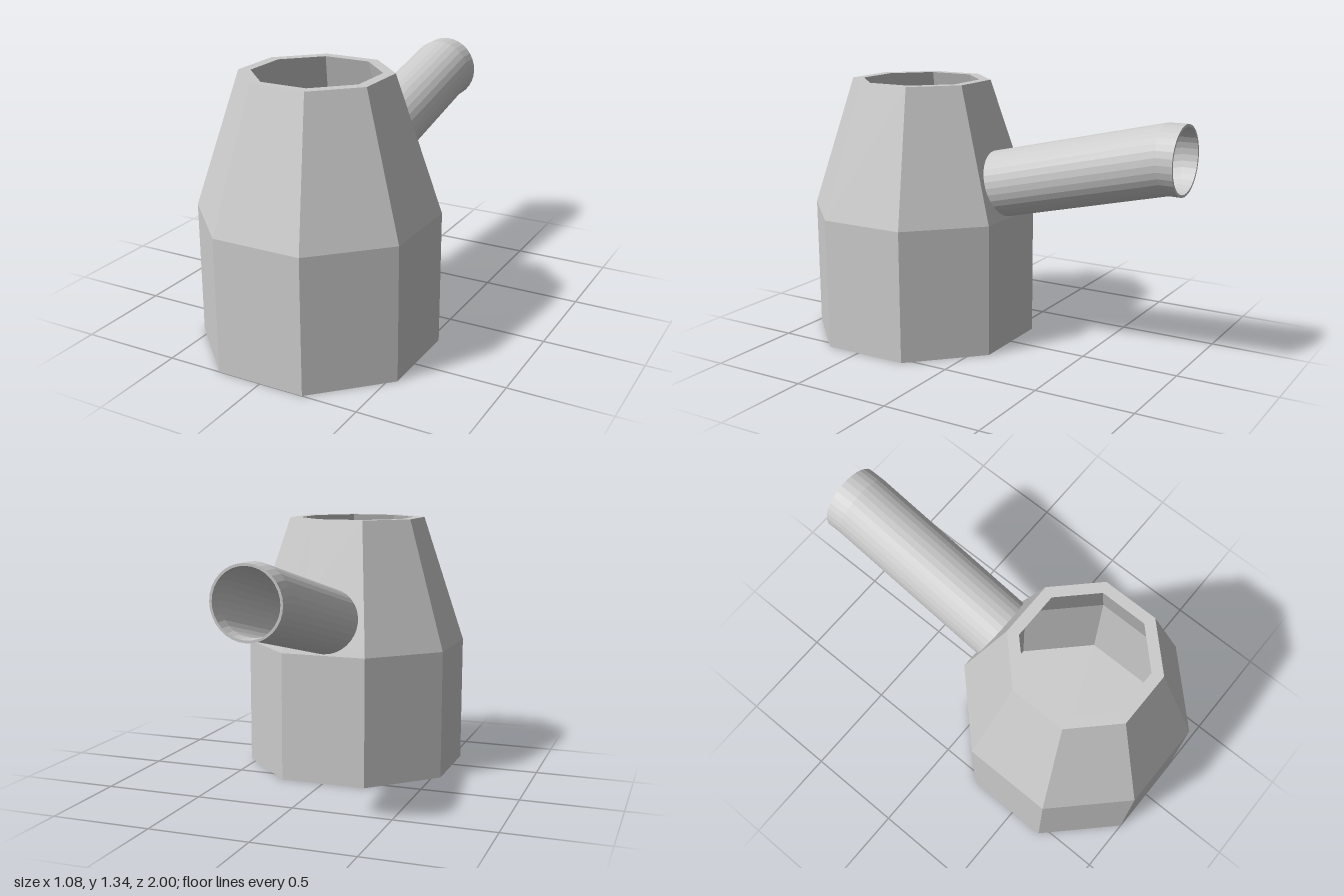
import * as THREE from 'three';

const material = new THREE.MeshStandardMaterial({ color: 0xcccccc, flatShading: true, side: THREE.DoubleSide });
const SIDES = 8;
const HALF = Math.tan(Math.PI / SIDES); // half side width per unit of apothem
const CENTRE_Z = 0.458;
const TUBE_R = 0.17, BORE_R = 0.158;

// One flat panel of the octagon, spanning two profile points [apothem, y]
function panel([a0, y0], [a1, y1], holeAtY) {
  const length = Math.hypot(a1 - a0, y1 - y0);
  const shape = new THREE.Shape([
    new THREE.Vector2(-a0 * HALF, 0), new THREE.Vector2(a0 * HALF, 0),
    new THREE.Vector2(a1 * HALF, length), new THREE.Vector2(-a1 * HALF, length),
  ]);
  if (holeAtY !== undefined) {
    const hole = new THREE.Path();
    hole.absarc(0, length * (holeAtY - y0) / (y1 - y0), BORE_R, 0, Math.PI * 2, true);
    shape.holes.push(hole);
  }
  const geometry = new THREE.ShapeGeometry(shape, 16);
  const p = geometry.attributes.position;
  for (let i = 0; i < p.count; i++) {
    const t = p.getY(i) / length;
    p.setXYZ(i, p.getX(i), y0 + (y1 - y0) * t, a0 + (a1 - a0) * t);
  }
  geometry.computeVertexNormals();
  return geometry;
}

// Hollow vessel: underside, outer wall, rim, inner wall, floor
function createVessel() {
  const vessel = new THREE.Group();
  vessel.name = 'vessel';
  vessel.position.z = CENTRE_Z;
  const profile = [[0, 0], [0.542, 0], [0.542, 0.67], [0.335, 1.34],
    [0.282, 1.34], [0.492, 0.66], [0.492, 0.05], [0, 0.05]];
  const names = ['underside', 'lowerWall', 'upperWall', 'rim', 'innerUpperWall', 'innerLowerWall', 'floor'];
  const spoutHoles = { upperWall: 0.84, innerUpperWall: 0.828 };
  for (let side = 0; side < SIDES; side++) {
    names.forEach((name, k) => {
      const holeAtY = side === SIDES / 2 ? spoutHoles[name] : undefined;
      const mesh = new THREE.Mesh(panel(profile[k], profile[k + 1], holeAtY), material);
      mesh.name = name;
      mesh.rotation.y = side * Math.PI * 2 / SIDES;
      vessel.add(mesh);
    });
  }
  return vessel;
}

// Hollow spout: rings run along the outside to the mouth, then back down the bore
function createSpout() {
  const segments = 32;
  // [centre y, centre z, ring tilt, radius]
  const rings = [
    [0.84, -0.032, 0.3, TUBE_R], [1.05, -0.919, 0.113, TUBE_R], [1.05, -1, 0, TUBE_R],
    [1.05, -1, 0, BORE_R], [1.05, -0.919, 0.113, BORE_R], [0.828, 0.018, 0.3, BORE_R],
  ];
  const positions = [], index = [];
  rings.forEach(([y, z, tilt, r], j) => {
    for (let i = 0; i < segments; i++) {
      const angle = i / segments * Math.PI * 2;
      const up = r * Math.sin(angle);
      positions.push(r * Math.cos(angle), y + up * Math.cos(tilt), z + up * Math.sin(tilt));
      if (j < rings.length - 1) {
        const next = (i + 1) % segments;
        const a = j * segments + i, b = j * segments + next;
        index.push(a, a + segments, b + segments, a, b + segments, b);
      }
    }
  });
  const geometry = new THREE.BufferGeometry();
  geometry.setAttribute('position', new THREE.Float32BufferAttribute(positions, 3));
  geometry.setIndex(index);
  const flat = geometry.toNonIndexed();
  flat.computeVertexNormals();
  const spout = new THREE.Mesh(flat, material);
  spout.name = 'spout';
  return spout;
}

export function createModel() {
  const model = new THREE.Group();
  model.name = 'spoutedVessel';
  model.add(createVessel(), createSpout());
  return model;
}
